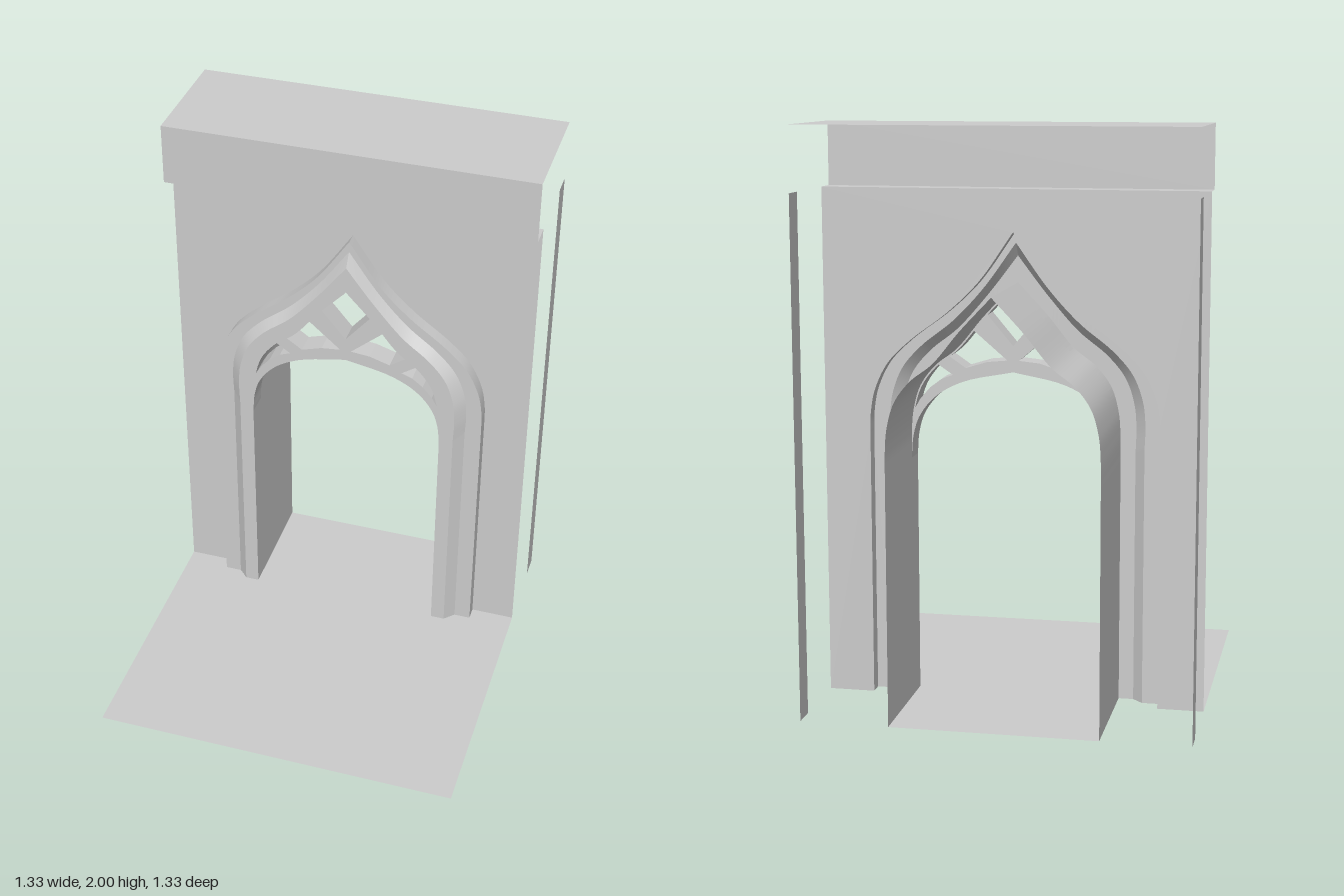
import * as THREE from 'three';

const mat = new THREE.MeshStandardMaterial({ color: 0xcccccc, side: THREE.DoubleSide });
const HALF = 0.665, WALL_Z = -0.31, FRONT_Z = -0.225, BACK_Z = -0.665, WALL_TOP = 1.78;
const STEPS = 56;

// half curve (x > 0), from springing to apex
const curve = (pts, n = STEPS) =>
  new THREE.CatmullRomCurve3(pts.map(([x, y]) => new THREE.Vector3(x, y, 0)))
    .getPoints(n).map(p => [p.x, p.y]);

// outer and inner ogee lines of the portal; the mouldings lie between them
const outer = curve([[0.505, 0.93], [0.503, 1.0], [0.487, 1.085], [0.44, 1.18],
  [0.36, 1.26], [0.228, 1.36], [0.12, 1.465], [0, 1.635]]);
const inner = curve([[0.358, 0.85], [0.357, 0.94], [0.35, 1.02], [0.325, 1.105],
  [0.273, 1.175], [0.195, 1.237], [0.105, 1.345], [0, 1.457]]);
// low arch under the tracery
const lowArch = curve([[0.358, 0.85], [0.351, 0.93], [0.328, 1.0], [0.27, 1.07],
  [0.175, 1.122], [0, 1.16]], 24);

// ogee line between outer (0) and inner (1), with its own share at springing and apex
function ogee(f0, f1) {
  const line = outer.map(([x, y], i) => {
    const f = f0 + (f1 - f0) * i / STEPS;
    return [x + (inner[i][0] - x) * f, y + (inner[i][1] - y) * f];
  });
  return [[line[0][0], 0], ...line];
}

const mirrored = pts => [...pts, ...pts.slice().reverse().filter(p => p[0] > 1e-6).map(([x, y]) => [-x, y])];
const flip = pts => pts.map(([x, y]) => [-x, y]);
const vecs = pts => pts.map(([x, y]) => new THREE.Vector2(x, y));

function add(group, name, geo, z = 0) {
  const mesh = new THREE.Mesh(geo, mat);
  mesh.name = name;
  mesh.position.z = z;
  group.add(mesh);
  return mesh;
}

// ruled band between two half lines at their depths, on one side
function band(a, za, b, zb, side) {
  const pos = [], idx = [];
  a.forEach((p, i) => {
    pos.push(side * p[0], p[1], za, side * b[i][0], b[i][1], zb);
    if (i === 0) return;
    const k = 2 * i - 2;
    if (side > 0) idx.push(k, k + 2, k + 1, k + 1, k + 2, k + 3);
    else idx.push(k, k + 1, k + 2, k + 1, k + 3, k + 2);
  });
  const g = new THREE.BufferGeometry();
  g.setAttribute('position', new THREE.Float32BufferAttribute(pos, 3));
  g.setIndex(idx);
  g.computeVertexNormals();
  return g;
}

function plane(group, name, w, h, x, y, z, rx = 0, ry = 0) {
  const m = add(group, name, new THREE.PlaneGeometry(w, h));
  m.position.set(x, y, z);
  m.rotation.set(rx, ry, 0);
}

export function createModel() {
  const model = new THREE.Group();
  model.name = 'gothicPortal';

  // wall with the ogee opening
  const wall = [[-HALF, 0], [-HALF, WALL_TOP], [HALF, WALL_TOP], [HALF, 0], ...mirrored(ogee(0, 0))];
  add(model, 'wall', new THREE.ShapeGeometry(new THREE.Shape(vecs(wall))), WALL_Z);

  // stepped mouldings, chamfer and passage lining
  const rings = [
    [ogee(0, 0), WALL_Z], [ogee(0, 0), -0.26], [ogee(0.41, 0.22), -0.26],
    [ogee(0.65, 0.48), FRONT_Z], [ogee(1, 1), FRONT_Z], [ogee(1, 1), BACK_Z],
  ];
  const names = ['outerMoulding', 'outerMouldingFace', 'chamfer', 'innerMouldingFace', 'passageVault'];
  for (const side of [1, -1]) {
    names.forEach((name, i) =>
      add(model, name, band(...rings[i], ...rings[i + 1], side)));
  }

  // tracery plate with five openings
  const outline = [...mirrored(inner), ...flip(lowArch).slice(1), ...lowArch.slice(1, -1).reverse()];
  const tracery = new THREE.Shape(vecs(outline));
  const edge = (y0, y1) => inner.filter(p => p[1] > y0 && p[1] < y1).map(([x, y]) => [x - 0.004, y - 0.004]);
  const lower = [...edge(1.02, 1.185), [0.21, 1.145], [0.25, 1.13], [0.29, 1.1], [0.325, 1.06]];
  const middle = [...edge(1.21, 1.307), [0.02, 1.2], [0.09, 1.193], [0.165, 1.17]];
  const upper = [[0, 1.25], ...edge(1.352, 1.445), [0, 1.45]];
  const top = [...upper, ...flip(upper.slice(1, -1)).reverse()];
  for (const h of [lower, flip(lower), middle, flip(middle), top]) {
    tracery.holes.push(new THREE.Path(vecs(h)));
  }
  add(model, 'tracery',
    new THREE.ExtrudeGeometry(tracery, { depth: FRONT_Z - WALL_Z, bevelEnabled: false }), WALL_Z);

  // floor, cut around the mouldings and running through the passage
  const half = [[HALF, HALF], [HALF, WALL_Z], [0.505, WALL_Z], [0.505, -0.26], [0.445, -0.26],
    [0.41, FRONT_Z], [0.358, FRONT_Z], [0.358, BACK_Z]].map(([x, z]) => [x, -z]);
  add(model, 'floor', new THREE.ShapeGeometry(new THREE.Shape(vecs(mirrored(half)))))
    .rotation.x = -Math.PI / 2;

  // cornice: top, front and narrow soffit
  const w = 2 * HALF, q = Math.PI / 2;
  plane(model, 'corniceTop', w, FRONT_Z - BACK_Z, 0, 2, (FRONT_Z + BACK_Z) / 2, -q);
  plane(model, 'corniceFront', w, 2 - WALL_TOP, 0, (2 + WALL_TOP) / 2, FRONT_Z);
  plane(model, 'corniceSoffit', w, FRONT_Z - WALL_Z, 0, WALL_TOP, (FRONT_Z + WALL_Z) / 2, q);

  // narrow side strips at the back corners
  for (const s of [1, -1]) {
    plane(model, 'sideStrip', 0.085, WALL_TOP, s * HALF, WALL_TOP / 2, BACK_Z + 0.0425, 0, s * q);
  }
  return model;
}
